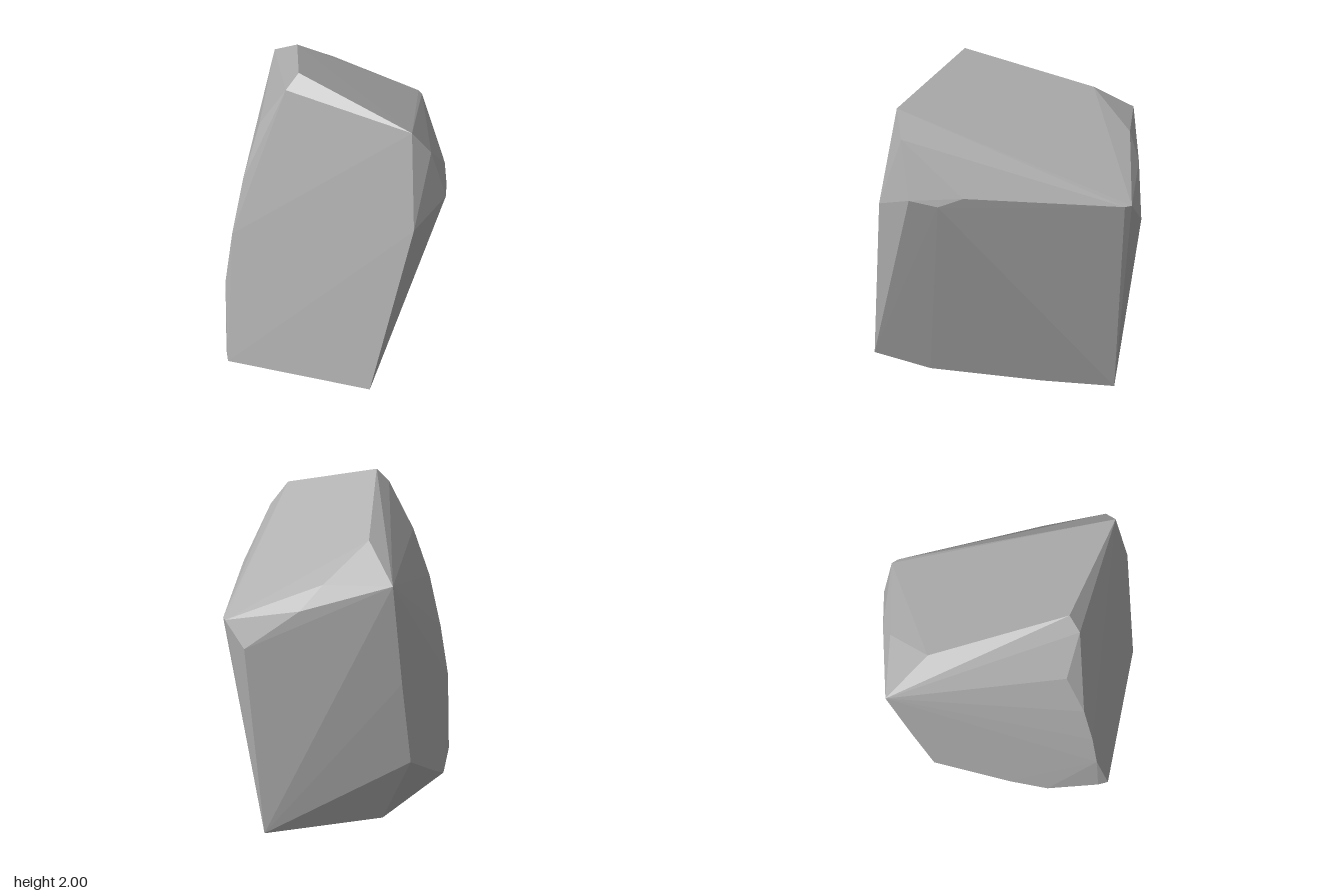
import * as THREE from 'three';
import { ConvexGeometry } from 'three/addons/geometries/ConvexGeometry.js';

export function createModel() {
  const group = new THREE.Group();
  group.name = 'rock';
  const stone = new THREE.MeshStandardMaterial({ color: 0xb0b0b0 });
  stone.name = 'grey stone';

  // corners of the faceted boulder, grouped by region
  const corners = {
    top: [
      [-0.18, 2.0, 0.23], [0.43, 1.84, 0.57], [-0.23, 1.75, -0.54],
      [-0.39, 1.57, -0.8], [0.54, 1.32, -0.73], [-0.01, 1.55, -0.75],
    ],
    frontLeftEdge: [
      [-0.25, 1.92, 0.28], [-0.41, 1.65, 0.2], [-0.51, 1.33, 0.3],
      [-0.585, 0.98, 0.36], [-0.64, 0.64, 0.4],
    ],
    sideRidge: [
      [0.54, 1.7, 0.54], [0.64, 1.38, 0.5], [0.46, 1.28, 0.69],
      [0.655, 1.35, 0.34], [0.65, 1.4, 0.2], [0.56, 1.32, -0.69],
    ],
    back: [
      [0.42, 1.18, -0.8], [0.11, 1.41, -0.8],
      [-0.44, 0.99, -0.71], [-0.49, 0.48, -0.62],
    ],
    base: [
      [0.24, 0.15, 0.8], [0.26, 0.05, 0.45], [0.32, 0.01, -0.25],
      [0.355, 0, -0.7], [-0.32, 0.05, -0.5], [-0.6, 0.21, -0.15],
      [-0.645, 0.08, 0.1], [-0.66, 0.1, 0.44], [-0.645, 0.08, 0.51],
    ],
  };

  // flat facets wrapped around the corners
  const points = Object.values(corners).flat().map((p) => new THREE.Vector3(...p));
  const boulder = new THREE.Mesh(new ConvexGeometry(points), stone);
  boulder.name = 'boulder';
  group.add(boulder);
  return group;
}
